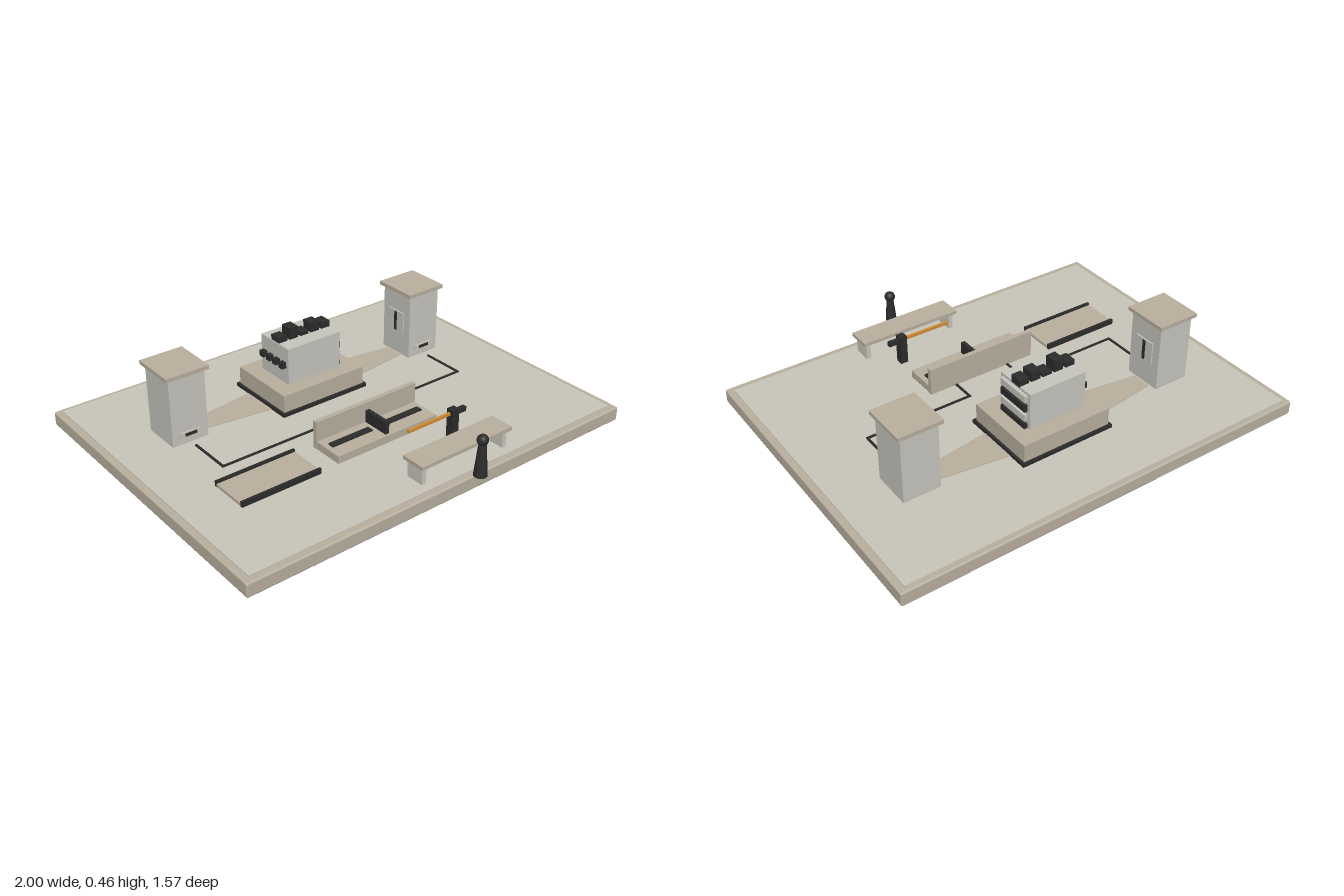
import * as THREE from 'three';
import { RoundedBoxGeometry } from 'three/addons/geometries/RoundedBoxGeometry.js';

const mat = (color) => new THREE.MeshStandardMaterial({ color });
const light = mat(0xc9c6bb), tan = mat(0xb9b09f), grey = mat(0xc6c5be);
const dark = mat(0x2b2c2b), orange = mat(0xd08c35);

// Box given by its lower and upper limits on each axis
function box(parent, name, material, [x0, x1], [y0, y1], [z0, z1]) {
  const mesh = new THREE.Mesh(new THREE.BoxGeometry(x1 - x0, y1 - y0, z1 - z0), material);
  mesh.position.set((x0 + x1) / 2, (y0 + y1) / 2, (z0 + z1) / 2);
  mesh.name = name;
  parent.add(mesh);
  return mesh;
}

function group(parent, name) {
  const g = new THREE.Group();
  g.name = name;
  parent.add(g);
  return g;
}

const FLOOR = 0.12;

function addBase(root) {
  const g = group(root, 'base');
  const slab = new THREE.Mesh(new RoundedBoxGeometry(2, 0.066, 1.52, 2, 0.008), tan);
  slab.position.set(0, 0.083, -0.022);
  slab.name = 'slab';
  g.add(slab);
  box(g, 'floor', light, [-0.97, 0.97], [0.1, FLOOR], [-0.757, 0.705]);
}

function addMachine(root) {
  const g = group(root, 'machine');
  box(g, 'plinthFoot', dark, [-0.233, 0.233], [FLOOR, 0.136], [-0.473, -0.102]);
  box(g, 'plinth', tan, [-0.221, 0.221], [0.13, 0.219], [-0.461, -0.114]);
  box(g, 'cabinet', grey, [-0.145, 0.14], [0, 0.395], [-0.387, -0.183]);
  // Keys of different heights on top
  [0.42, 0.45, 0.412, 0.44, 0.425].forEach((top, i) => {
    const x = -0.118 + i * 0.059;
    box(g, 'topKey', dark, [x - 0.023, x + 0.023], [0.39, top], [-0.315, -0.257]);
  });
  // Drawers on the left-hand face, two of them dark
  for (let i = 0; i < 8; i++) {
    const y = 0.038 + i * 0.047;
    box(g, 'drawer', i === 4 || i === 6 ? dark : grey,
      [0.135, 0.156], [y - 0.016, y + 0.016], [-0.37, -0.2]);
  }
  // Knobs on the other face
  for (let i = 0; i < 4; i++) {
    const z = -0.358 + i * 0.048;
    box(g, 'sideKnob', dark, [-0.168, -0.14], [0.298, 0.326], [z - 0.014, z + 0.014]);
  }
}

// One side of the mirrored pair: tower, floor beam and cable
function addTower(root, s) {
  const g = group(root, s > 0 ? 'leftTower' : 'rightTower');
  const span = (a, b) => [Math.min(s * a, s * b), Math.max(s * a, s * b)];
  box(g, 'towerBody', grey, span(0.568, 0.742), [FLOOR, 0.445], [-0.375, -0.19]);
  box(g, 'towerCap', tan, span(0.552, 0.758), [0.441, 0.459], [-0.391, -0.175]);
  box(g, 'slotFrame', light, span(0.605, 0.708), [0.153, 0.177], [-0.2, -0.183]);
  box(g, 'slot', dark, span(0.627, 0.683), [0.158, 0.172], [-0.2, -0.18]);
  box(g, 'window', grey, span(0.561, 0.575), [0.235, 0.342], [-0.335, -0.23]);
  box(g, 'windowBar', dark, span(0.559, 0.575), [0.24, 0.337], [-0.291, -0.274]);

  // Wedge of colour on the floor
  const shape = new THREE.Shape([
    new THREE.Vector2(s * 0.56, 0.335), new THREE.Vector2(s * 0.56, 0.24),
    new THREE.Vector2(s * 0.225, 0.195), new THREE.Vector2(s * 0.225, 0.38),
  ]);
  const beam = new THREE.Mesh(
    new THREE.ExtrudeGeometry(shape, { depth: 0.004, bevelEnabled: false }), tan);
  beam.rotation.x = -Math.PI / 2;
  beam.position.y = FLOOR - 0.001;
  beam.name = 'floorBeam';
  g.add(beam);

  // Cable with two right-angle turns
  const y = [FLOOR - 0.002, FLOOR + 0.006];
  box(g, 'cable', dark, span(0.651, 0.661), y, [-0.148, 0.065]);
  box(g, 'cable', dark, span(0.134, 0.661), y, [0.055, 0.065]);
  box(g, 'cable', dark, span(0.134, 0.144), y, [0.055, 0.17]);
}

function addTray(root) {
  const g = group(root, 'tray');
  box(g, 'trayPanel', tan, [-0.755, -0.37], [FLOOR, 0.134], [0.16, 0.342]);
  for (const z of [0.16, 0.342]) {
    box(g, 'trayRail', dark, [-0.756, -0.369], [FLOOR, 0.145], [z - 0.006, z + 0.006]);
  }
}

function addConsole(root) {
  const g = group(root, 'console');
  box(g, 'consoleBase', tan, [-0.273, 0.269], [FLOOR, 0.156], [0.17, 0.335]);
  box(g, 'consoleBack', tan, [-0.275, 0.271], [FLOOR, 0.25], [0.168, 0.19]);
  box(g, 'divider', dark, [-0.011, 0.009], [0.15, 0.214], [0.19, 0.323]);
  for (const s of [-1, 1]) {
    const x = s * 0.139 - 0.002;
    box(g, 'track', dark, [x - 0.107, x + 0.107], [0.15, 0.162], [0.235, 0.267]);
  }
}

function addBarrier(root) {
  const g = group(root, 'barrier');
  box(g, 'post', dark, [0.219, 0.256], [FLOOR, 0.261], [0.45, 0.486]);
  box(g, 'counterweight', dark, [0.25, 0.306], [0.228, 0.25], [0.456, 0.476]);
  box(g, 'arm', orange, [-0.013, 0.225], [0.234, 0.247], [0.46, 0.472]);
}

function addBench(root) {
  const g = group(root, 'bench');
  box(g, 'benchTop', tan, [-0.121, 0.379], [0.2, 0.217], [0.56, 0.676]);
  for (const x of [-0.096, 0.354]) {
    box(g, 'benchLeg', light, [x - 0.011, x + 0.011], [FLOOR, 0.204], [0.574, 0.662]);
  }
}

function addFigure(root) {
  const g = group(root, 'figure');
  const body = new THREE.Mesh(new THREE.CylinderGeometry(0.017, 0.03, 0.143, 16), dark);
  body.position.y = FLOOR + 0.0715;
  body.name = 'body';
  const head = new THREE.Mesh(new THREE.SphereGeometry(0.025, 20, 14), dark);
  head.position.y = 0.287;
  head.name = 'head';
  g.add(body, head);
  g.position.set(0.128, 0, 0.753);
}

export function createModel() {
  const root = new THREE.Group();
  root.name = 'courtyardModel';
  addBase(root);
  addMachine(root);
  for (const s of [-1, 1]) addTower(root, s);
  addTray(root);
  addConsole(root);
  addBarrier(root);
  addBench(root);
  addFigure(root);
  return root;
}
